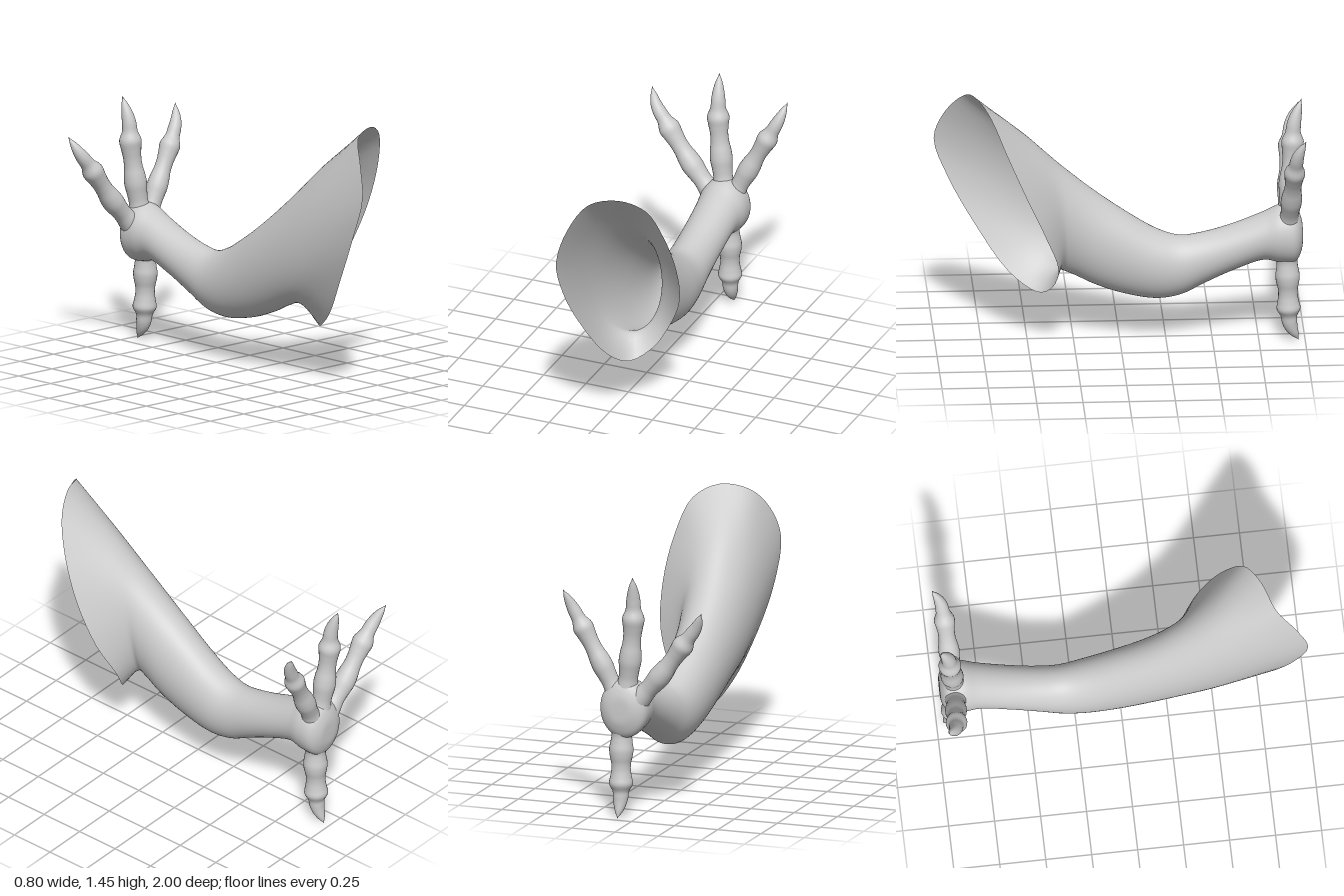
import * as THREE from 'three';

const V = (x, y, z) => new THREE.Vector3(x, y, z);
const material = new THREE.MeshStandardMaterial({ color: 0xcccccc, side: THREE.DoubleSide });

// Skin a smooth surface over closed rings of points.
function skin(name, rings) {
  const n = rings[0].length, index = [];
  for (let i = 0; i < rings.length - 1; i++) {
    for (let j = 0; j < n; j++) {
      const k = (j + 1) % n, a = i * n, b = a + n;
      index.push(a + j, a + k, b + j, a + k, b + k, b + j);
    }
  }
  const geometry = new THREE.BufferGeometry().setFromPoints(rings.flat());
  geometry.setIndex(index);
  geometry.computeVertexNormals();
  const mesh = new THREE.Mesh(geometry, material);
  mesh.name = name;
  return mesh;
}

// Open flared rim, clockwise from its highest point.
const rim = new THREE.CatmullRomCurve3([
  V(0.17, 1.45, 0.78), V(0.3, 1.38, 0.71), V(0.37, 1.2, 0.63), V(0.4, 0.95, 0.52),
  V(0.37, 0.7, 0.41), V(0.28, 0.5, 0.345), V(0.2, 0.37, 0.37), V(0.1, 0.305, 0.45),
  V(0.03, 0.4, 0.6), V(-0.05, 0.65, 0.78), V(-0.095, 0.9, 0.92), V(-0.1, 1.13, 1.0),
  V(-0.06, 1.3, 0.94), V(0.02, 1.42, 0.84),
], true);

// Limb sections: min x, max x, top y, top z, bottom y, bottom z, sideways skew in z.
const sections = [
  [-0.118, 0.235, 1.22, 0.54, 0.42, 0.35, -0.11],
  [-0.115, 0.212, 1.0, 0.3, 0.4, 0.28, -0.04],
  [-0.105, 0.208, 0.85, 0.12, 0.335, 0.14, 0],
  [-0.093, 0.205, 0.73, -0.05, 0.28, -0.02, 0],
  [-0.08, 0.2, 0.64, -0.2, 0.25, -0.2, 0],
  [-0.07, 0.188, 0.6, -0.32, 0.27, -0.33, 0],
  [-0.062, 0.182, 0.615, -0.45, 0.33, -0.45, 0],
  [-0.056, 0.185, 0.665, -0.62, 0.41, -0.62, 0],
  [-0.055, 0.195, 0.73, -0.78, 0.465, -0.78, 0],
  [-0.065, 0.21, 0.77, -0.87, 0.45, -0.86, 0],
  [-0.055, 0.2, 0.76, -0.945, 0.45, -0.945, 0],
  [0.0, 0.15, 0.69, -0.982, 0.52, -0.982, 0],
  [0.075, 0.075, 0.6, -0.988, 0.6, -0.988, 0],
];

function makeLimb() {
  const around = 56, steps = (sections.length) * 6;
  const rings = Array.from({ length: steps + 1 }, () => []);
  for (let j = 0; j < around; j++) {
    const s = Math.sin((j / around) * Math.PI * 2), c = Math.cos((j / around) * Math.PI * 2);
    // one lengthwise curve from the rim to the back of the palm
    const line = new THREE.CatmullRomCurve3([
      rim.getPoint(j / around),
      ...sections.map(([x0, x1, ty, tz, by, bz, skew]) => V(
        (x0 + x1) / 2 + (s * (x1 - x0)) / 2,
        (ty + by) / 2 + (c * (ty - by)) / 2,
        (tz + bz) / 2 + (c * (tz - bz)) / 2 + s * skew)),
    ]);
    rings.forEach((ring, i) => ring.push(line.getPoint(i / steps)));
  }
  return skin('limb', rings);
}

// Toe thickness from base to claw tip: pads, knuckle ridge, then a tapering claw.
const toeProfile = [1.2, 1.06, 0.94, 1.0, 1.1, 1.04, 0.9, 0.88, 0.98, 1.08, 0.76, 0.69, 0.56, 0.34, 0.01];

function makeToe(name, radius, points) {
  const path = new THREE.CatmullRomCurve3(points);
  const profile = new THREE.SplineCurve(toeProfile.map((r, i) => new THREE.Vector2(i, r)));
  const rings = [], steps = 56, around = 24;
  for (let i = 0; i <= steps; i++) {
    const u = i / steps, p = path.getPointAt(u), t = path.getTangentAt(u);
    const r = radius * Math.max(profile.getPoint(u).y, 0.01);
    const n1 = V(0, 0, 1).addScaledVector(t, -t.z).normalize();
    const n2 = t.clone().cross(n1);
    rings.push(Array.from({ length: around }, (_, j) => {
      const a = (j / around) * Math.PI * 2;
      return p.clone().addScaledVector(n1, r * Math.cos(a)).addScaledVector(n2, r * Math.sin(a));
    }));
  }
  return skin(name, rings);
}

export function createModel() {
  const group = new THREE.Group();
  group.name = 'clawedLimb';
  group.add(
    makeLimb(),
    makeToe('leftToe', 0.052, [V(0.11, 0.66, -0.905), V(0.2, 0.84, -0.92), V(0.315, 1.06, -0.935), V(0.365, 1.16, -0.95), V(0.4, 1.255, -0.99)]),
    makeToe('middleToe', 0.056, [V(0.065, 0.68, -0.905), V(0.04, 0.86, -0.92), V(0.015, 1.09, -0.935), V(0.01, 1.22, -0.945), V(0.0, 1.355, -0.985)]),
    makeToe('rightToe', 0.054, [V(0.0, 0.65, -0.905), V(-0.14, 0.81, -0.92), V(-0.295, 1.02, -0.935), V(-0.355, 1.1, -0.95), V(-0.4, 1.19, -0.99)]),
    makeToe('rearToe', 0.06, [V(0.09, 0.53, -0.9), V(0.095, 0.36, -0.905), V(0.095, 0.19, -0.91), V(0.095, 0.09, -0.92), V(0.095, 0.0, -0.965)]),
  );
  return group;
}
